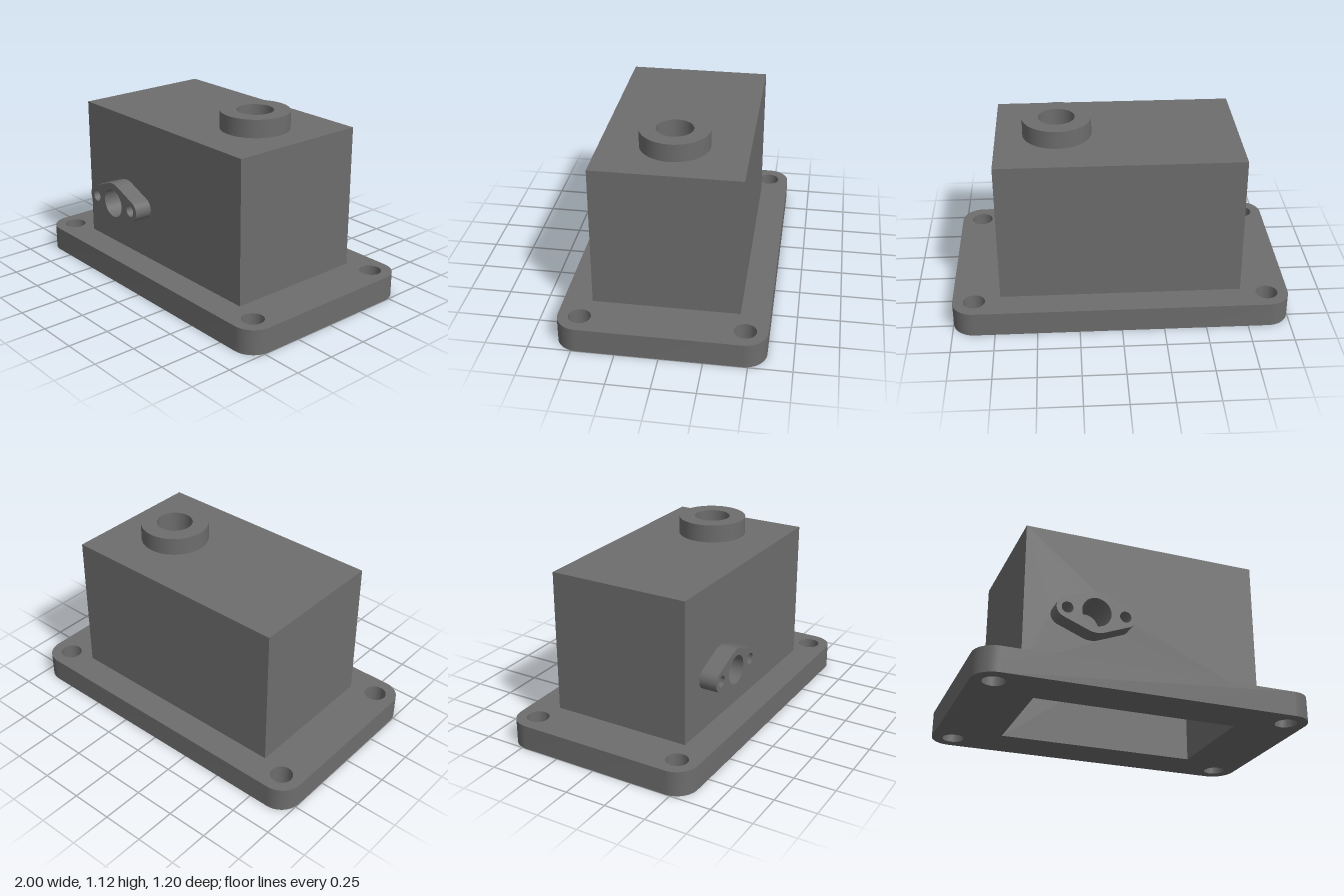
import * as THREE from 'three';
import { mergeGeometries, toCreasedNormals } from 'three/addons/utils/BufferGeometryUtils.js';

const W = 0.718, D = 0.43, TOP = 1.012;          // outer body half sizes and top height
const T = 0.107;                                 // wall thickness
const IW = W - T, ID = D - T, CEIL = TOP - T;    // cavity
const BASE = 0.15;

// Outlines: counter-clockwise lists of points
const arc = (cx, cy, r, a0, a1, n) => Array.from({ length: n + 1 }, (_, i) => {
  const a = a0 + (a1 - a0) * i / n;
  return new THREE.Vector2(cx + r * Math.cos(a), cy + r * Math.sin(a));
});
const circle = (cx, cy, r, n = 48) => arc(cx, cy, r, 0, Math.PI * 2, n).slice(0, n);
const rect = (x0, y0, x1, y1) =>
  [[x1, y0], [x1, y1], [x0, y1], [x0, y0]].map(p => new THREE.Vector2(...p));

function roundedRect(w, h, r) {
  return [[1, 1], [-1, 1], [-1, -1], [1, -1]].flatMap(([sx, sy], i) =>
    arc(sx * (w - r), sy * (h - r), r, i * Math.PI / 2, (i + 1) * Math.PI / 2, 12));
}

// Two small end arcs joined by tangents to a larger middle arc
function lobedOutline(cx, cy, R, r, d) {
  const a = Math.acos((R - r) / d), P = Math.PI;
  return [
    ...arc(cx + d, cy, r, -a, a, 14), ...arc(cx, cy, R, a, P - a, 10),
    ...arc(cx - d, cy, r, P - a, P + a, 14), ...arc(cx, cy, R, P + a, 2 * P - a, 10),
  ];
}

// Flat sheet with holes, facing +z (or -z when flipped)
function sheet(outline, holes, z, flip = false) {
  const shape = new THREE.Shape(outline);
  shape.holes = holes.map(h => new THREE.Path(h));
  const g = new THREE.ShapeGeometry(shape);
  if (flip) g.index.array.reverse();
  const flat = g.toNonIndexed().translate(0, 0, z);
  flat.deleteAttribute('uv');
  flat.computeVertexNormals();
  return flat;
}

// Side surface along an outline, facing outward (or inward for bores)
function band(outline, z0, z1, { inward = false, closed = true } = {}) {
  const pts = inward ? [...outline].reverse() : outline;
  const pos = [];
  for (let i = 0; i < pts.length - (closed ? 0 : 1); i++) {
    const p = pts[i], q = pts[(i + 1) % pts.length];
    pos.push(p.x, p.y, z0, q.x, q.y, z0, q.x, q.y, z1);
    pos.push(p.x, p.y, z0, q.x, q.y, z1, p.x, p.y, z1);
  }
  const g = new THREE.BufferGeometry();
  g.setAttribute('position', new THREE.Float32BufferAttribute(pos, 3));
  g.computeVertexNormals();
  return toCreasedNormals(g, 0.6);
}

// Turns plan outlines upright: depth becomes height
const plan = (...parts) => parts.map(g => g.rotateX(-Math.PI / 2));

export function createModel() {
  const group = new THREE.Group();
  const material = new THREE.MeshStandardMaterial({ color: 0x6d6d6d });
  const add = (name, parts) => {
    const mesh = new THREE.Mesh(mergeGeometries(parts), material);
    mesh.name = name;
    group.add(mesh);
  };

  const outer = rect(-W, -D, W, D), inner = rect(-IW, -ID, IW, ID);
  const boss = circle(0.354, 0, 0.204, 64), bossBore = circle(0.354, 0, 0.108);
  const fx = -0.324, fy = 0.475, fd = 0.172;
  const flange = lobedOutline(fx, fy, 0.128, 0.064, fd);
  const portHoles = [circle(fx, fy, 0.087), circle(fx - fd, fy, 0.034, 32), circle(fx + fd, fy, 0.034, 32)];

  // Base plate with four bolt holes and the cavity opening
  const plate = roundedRect(1, 0.6, 0.13);
  const bolts = [[1, 1], [-1, 1], [-1, -1], [1, -1]].map(([sx, sy]) => circle(sx * 0.872, sy * 0.472, 0.065));
  add('basePlate', plan(
    sheet(plate, [inner, ...bolts], 0, true),
    sheet(plate, [outer, ...bolts], BASE),
    band(plate, 0, BASE),
    ...bolts.map(b => band(b, 0, BASE, { inward: true })),
  ));

  // Housing exterior: sides, back and top, then the front wall
  add('housingOuter', [
    ...plan(band(outer, BASE, TOP, { closed: false }), sheet(outer, [boss], TOP)),
    sheet(rect(-W, BASE, W, TOP), [flange], D),
  ]);

  // Cavity, open at the bottom
  add('housingCavity', [
    ...plan(band(inner, 0, CEIL, { inward: true, closed: false }), sheet(inner, [bossBore], CEIL, true)),
    sheet(rect(-IW, 0, IW, CEIL), portHoles, ID, true),
  ]);

  // Round boss on the top, bored through to the cavity
  const bossTop = 1.119;
  add('topBoss', plan(
    band(boss, TOP, bossTop),
    sheet(boss, [bossBore], bossTop),
    band(bossBore, CEIL, bossTop, { inward: true }),
  ));

  // Port flange on the front, its three holes running through the wall
  const flangeFront = 0.538;
  add('portFlange', [
    band(flange, D, flangeFront),
    sheet(flange, portHoles, flangeFront),
    ...portHoles.map(h => band(h, ID, flangeFront, { inward: true })),
  ]);

  return group;
}
